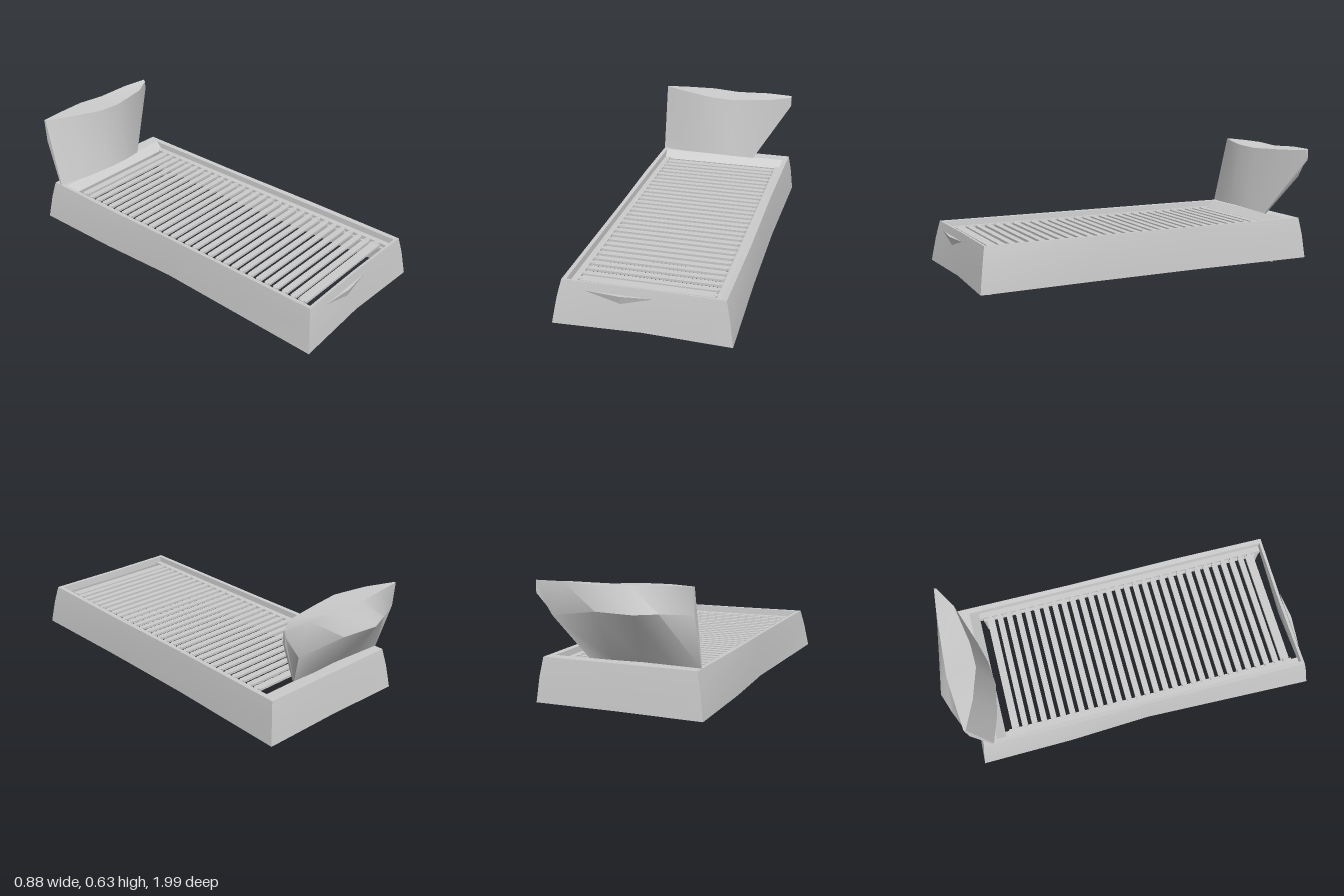
import * as THREE from 'three';
import { toCreasedNormals } from 'three/addons/utils/BufferGeometryUtils.js';

const material = new THREE.MeshStandardMaterial({ color: 0xcccccc, side: THREE.DoubleSide });

// Skin a list of equal-length closed rings of [x, y, z] points
function loft(rings, crease, capped) {
  const n = rings[0].length;
  const index = [];
  for (let i = 0; i < rings.length - 1; i++) {
    for (let j = 0; j < n; j++) {
      const a = i * n + j, b = i * n + (j + 1) % n;
      index.push(a, b, b + n, a, b + n, a + n);
    }
  }
  if (capped) {
    const last = (rings.length - 1) * n;
    for (let j = 1; j < n - 1; j++) {
      index.push(0, j + 1, j, last, last + j, last + j + 1);
    }
  }
  const geometry = new THREE.BufferGeometry();
  geometry.setAttribute('position', new THREE.Float32BufferAttribute(rings.flat(2), 3));
  geometry.setIndex(index);
  return toCreasedNormals(geometry, crease);
}

export function createModel() {
  const model = new THREE.Group();
  model.name = 'bed';

  const add = (name, geometry, x = 0, y = 0, z = 0) => {
    const mesh = new THREE.Mesh(geometry, material);
    mesh.name = name;
    mesh.position.set(x, y, z);
    model.add(mesh);
    return mesh;
  };
  const box = (name, w, h, d, x, y, z) => add(name, new THREE.BoxGeometry(w, h, d), x, y, z);

  // Flared, slightly uneven skirt: x, z at the hem, the top edge and the inner rim
  const outline = [
    [-0.44, 0.99, -0.395, 0.95, -0.375, 0.935],
    [0, 0.968, 0, 0.945, 0, 0.93],
    [0.44, 0.985, 0.4, 0.95, 0.375, 0.935],
    [0.425, 0.4, 0.405, 0.4, 0.375, 0.4],
    [0.42, -0.2, 0.4, -0.2, 0.375, -0.2],
    [0.432, -0.885, 0.405, -0.855, 0.375, -0.79],
    [0, -0.885, 0, -0.86, 0, -0.79],
    [-0.435, -0.9, -0.395, -0.865, -0.375, -0.79],
    [-0.43, -0.4, -0.4, -0.4, -0.375, -0.4],
    [-0.41, 0.05, -0.395, 0.05, -0.375, 0.05],
  ];
  const skirtRings = [
    outline.map(([x, z]) => [x, 0.02, z]),
    // gentle swell half way up
    outline.map(([xb, zb, xt, zt]) => [xb * 0.4 + xt * 0.6 + Math.sign(xt) * 0.004, 0.15, zb * 0.4 + zt * 0.6 + 0.003 * Math.sign(zt)]),
    outline.map(([, , x, z]) => [x, 0.242, z]),
    outline.map(([, , , , x, z]) => [x, 0.24, z]),
    // the rim dips inward, widest at the head end
    outline.map(([, , , , x, z]) => [x * 0.99, 0.2, z < -0.7 ? -0.74 : z * 0.995]),
  ];
  add('skirt', loft(skirtRings, 0.6, false));

  // Small downward fold on the front of the skirt
  const fold = [[-0.28, 0.205, 0.962], [-0.1, 0.16, 0.966], [0.06, 0.205, 0.96], [-0.1, 0.205, 0.978]];
  const foldGeometry = new THREE.BufferGeometry();
  foldGeometry.setAttribute('position', new THREE.Float32BufferAttribute(
    [0, 1, 3, 1, 2, 3, 2, 0, 3].flatMap((i) => fold[i]), 3));
  foldGeometry.computeVertexNormals();
  add('skirtFold', foldGeometry);

  // Side rails, slat holders and legs
  for (const side of [-1, 1]) {
    box('sideRail', 0.032, 0.035, 1.67, side * 0.356, 0.192, 0.095);
    box('railLedge', 0.014, 0.015, 1.62, side * 0.334, 0.184, 0.09);
    for (const z of [0.92, -0.71]) {
      add('leg', new THREE.CylinderGeometry(0.018, 0.01, 0.18, 16), side * 0.36, 0.09, z);
    }
  }

  // Slats, with wider ones at both ends
  const count = 30;
  for (let i = 0; i < count; i++) {
    const z = -0.68 + (i * 1.54) / (count - 1);
    const depth = i === 0 ? 0.04 : i === count - 1 ? 0.048 : 0.032;
    box('slat', 0.66, 0.012, depth, 0, 0.205, z);
    for (const side of [-1, 1]) box('slatHolder', 0.02, 0.018, 0.02, side * 0.33, 0.203, z);
  }

  // Headboard: sections from one end to the other, each running
  // front top, front bottom, back bottom, back ridge, back top
  const sections = [
    [[-0.395, 0.628, -0.9], [-0.395, 0.245, -0.81], [-0.395, 0.245, -0.82], [-0.395, 0.5, -0.9], [-0.395, 0.628, -0.91]],
    [[-0.25, 0.624, -0.835], [-0.25, 0.255, -0.76], [-0.25, 0.245, -0.81], [-0.25, 0.505, -0.962], [-0.25, 0.628, -0.925]],
    [[-0.08, 0.615, -0.785], [-0.08, 0.265, -0.73], [-0.1, 0.245, -0.8], [-0.14, 0.5, -1.0], [-0.1, 0.625, -0.94]],
    [[0.06, 0.606, -0.79], [0.06, 0.255, -0.745], [0.06, 0.243, -0.8], [0.06, 0.5, -0.972], [0.06, 0.615, -0.935]],
    [[0.28, 0.612, -0.83], [0.19, 0.24, -0.78], [0.19, 0.24, -0.79], [0.31, 0.46, -0.92], [0.25, 0.624, -0.925]],
    [[0.398, 0.615, -0.9], [0.398, 0.56, -0.9], [0.398, 0.56, -0.912], [0.398, 0.59, -0.915], [0.398, 0.622, -0.912]],
  ];
  add('headboard', loft(sections, 0.75, true));

  return model;
}
